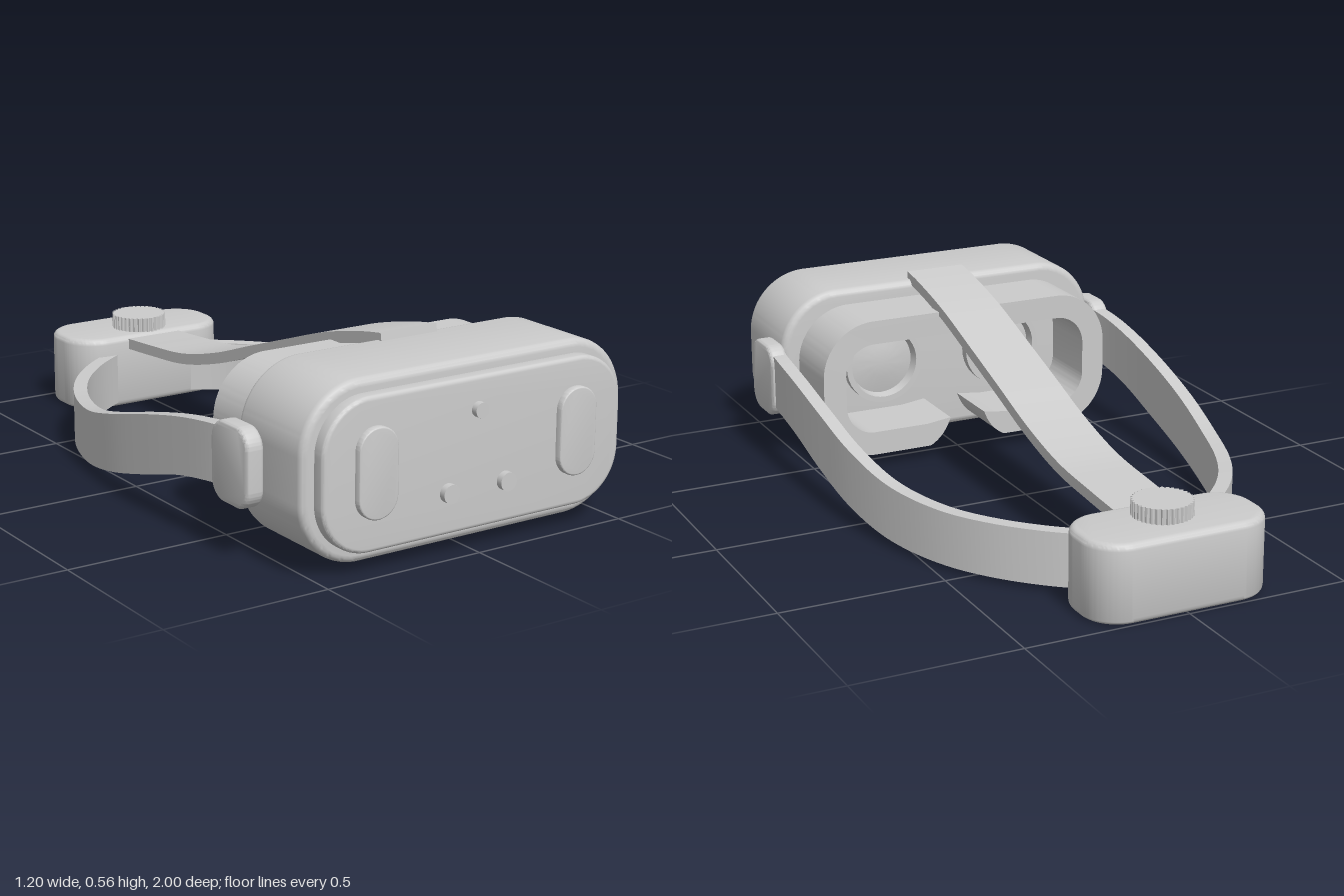
import * as THREE from 'three';
import { toCreasedNormals, mergeVertices } from 'three/addons/utils/BufferGeometryUtils.js';

const material = new THREE.MeshStandardMaterial({ color: 0xcccccc, side: THREE.DoubleSide });

function add(parent, name, geometry) {
  const mesh = new THREE.Mesh(geometry, material);
  mesh.name = name;
  parent.add(mesh);
  return mesh;
}

// Rounded rectangle centred on (cx, cy)
function roundedRect(w, h, r, cx = 0, cy = 0) {
  const s = new THREE.Shape();
  const x = w / 2 - r, y = h / 2 - r;
  s.absarc(cx + x, cy + y, r, 0, Math.PI / 2);
  s.absarc(cx - x, cy + y, r, Math.PI / 2, Math.PI);
  s.absarc(cx - x, cy - y, r, Math.PI, Math.PI * 1.5);
  s.absarc(cx + x, cy - y, r, Math.PI * 1.5, Math.PI * 2);
  s.closePath();
  return s;
}

// Extrusion from z0 to z1 whose bevel stays inside the outline
function slab(shape, z0, z1, bevel = 0) {
  const g = new THREE.ExtrudeGeometry(shape, {
    depth: z1 - z0 - 2 * bevel, curveSegments: 16, bevelEnabled: bevel > 0,
    bevelThickness: bevel, bevelSize: bevel, bevelOffset: -bevel, bevelSegments: 4,
  });
  g.translate(0, 0, z0 + bevel);
  return toCreasedNormals(g, 0.6);
}

// Closed loft through four-cornered cross-sections
function loft(sections) {
  const pos = sections.flat(2), index = [], n = sections.length;
  for (let i = 0; i < n - 1; i++) {
    for (let j = 0; j < 4; j++) {
      const a = i * 4 + j, b = i * 4 + (j + 1) % 4;
      index.push(a, b, a + 4, b, b + 4, a + 4);
    }
  }
  const e = (n - 1) * 4;
  index.push(0, 2, 1, 0, 3, 2, e, e + 1, e + 2, e, e + 2, e + 3);
  const g = new THREE.BufferGeometry();
  g.setAttribute('position', new THREE.Float32BufferAttribute(pos, 3));
  g.setIndex(index);
  return toCreasedNormals(mergeVertices(g), 0.6);
}

// Side strap: rows of [x, z, bottom, top], swept upright and curving to the back
function sideStrap(side) {
  const rows = [
    [0.56, 0.68, 0.2, 0.365], [0.572, 0.55, 0.19, 0.357], [0.575, 0.4, 0.165, 0.335],
    [0.572, 0.2, 0.11, 0.29], [0.56, 0, 0.06, 0.237], [0.525, -0.2, 0.025, 0.192],
    [0.46, -0.4, 0.015, 0.177], [0.375, -0.55, 0.015, 0.177], [0.255, -0.68, 0.015, 0.177],
    [0.12, -0.78, 0.015, 0.177],
  ];
  const path = new THREE.CatmullRomCurve3(rows.map(r => new THREE.Vector3(r[0], r[2], r[1])));
  const tops = new THREE.CatmullRomCurve3(rows.map(r => new THREE.Vector3(r[0], r[3], r[1])));
  const sections = [], half = 0.021;
  for (let i = 0; i <= 60; i++) {
    const p = path.getPoint(i / 60), q = tops.getPoint(i / 60), t = path.getTangent(i / 60);
    const len = Math.hypot(t.x, t.z), nx = -t.z / len * half, nz = t.x / len * half;
    const ring = [
      [side * (p.x + nx), p.y, p.z + nz], [side * (p.x + nx), q.y, p.z + nz],
      [side * (p.x - nx), q.y, p.z - nz], [side * (p.x - nx), p.y, p.z - nz],
    ];
    sections.push(side > 0 ? ring.reverse() : ring);
  }
  return loft(sections.map(s => s.slice().reverse()));
}

// Top strap: centre line as [z, y]
function topStrap() {
  const line = [[0.665, 0.541], [0.58, 0.527], [0.4, 0.485], [0.2, 0.42], [0, 0.353],
    [-0.2, 0.285], [-0.4, 0.237], [-0.6, 0.218], [-0.79, 0.205]];
  const path = new THREE.CatmullRomCurve3(line.map(([z, y]) => new THREE.Vector3(0, y, z)));
  const sections = [], w = 0.096, half = 0.017;
  for (let i = 0; i <= 60; i++) {
    const p = path.getPoint(i / 60), t = path.getTangent(i / 60);
    const ny = -t.z * half, nz = t.y * half;
    sections.push([
      [-w, p.y - ny, p.z - nz], [w, p.y - ny, p.z - nz],
      [w, p.y + ny, p.z + nz], [-w, p.y + ny, p.z + nz],
    ]);
  }
  return loft(sections.map(s => s.slice().reverse()));
}

// Open ring around the eyes with a gap for the nose
function faceCushionShape() {
  const s = new THREE.Shape(), P = Math.PI, cy = 0.265;
  const X = 0.49, Y = 0.22, R = 0.17, t = 0.075, r = R - t;
  const cx = X - R, dy = Y - R;
  s.moveTo(0.13, cy - Y);
  s.absarc(cx, cy - dy, R, -P / 2, 0);
  s.absarc(cx, cy + dy, R, 0, P / 2);
  s.absarc(-cx, cy + dy, R, P / 2, P);
  s.absarc(-cx, cy - dy, R, P, P * 1.5);
  s.lineTo(-0.13, cy - Y);
  s.quadraticCurveTo(-0.08, cy - Y + 0.025, -0.06, cy - Y + t + 0.01);
  s.lineTo(-0.14, cy - Y + t);
  s.absarc(-cx, cy - dy, r, P * 1.5, P, true);
  s.absarc(-cx, cy + dy, r, P, P / 2, true);
  s.absarc(cx, cy + dy, r, P / 2, 0, true);
  s.absarc(cx, cy - dy, r, 0, -P / 2, true);
  s.lineTo(0.14, cy - Y + t);
  s.lineTo(0.06, cy - Y + t + 0.01);
  s.quadraticCurveTo(0.08, cy - Y + 0.025, 0.13, cy - Y);
  return s;
}

// Knurled dial outline
function dialShape(radius, ridges) {
  const pts = [];
  for (let i = 0; i < ridges * 4; i++) {
    const a = i / (ridges * 4) * Math.PI * 2, r = i % 4 < 2 ? radius : radius - 0.005;
    pts.push(new THREE.Vector2(Math.cos(a) * r, Math.sin(a) * r));
  }
  return new THREE.Shape(pts);
}

export function createModel() {
  const model = new THREE.Group();
  model.name = 'headset';

  // Visor housing and front plate
  add(model, 'visorBody', slab(roundedRect(1.09, 0.51, 0.19, 0, 0.28), 0.63, 0.94, 0.022));
  add(model, 'frontPlate', slab(roundedRect(1.01, 0.432, 0.15, 0, 0.28), 0.92, 0.98, 0.012));
  add(model, 'faceCushion', slab(faceCushionShape(), 0.42, 0.65));

  // Sensors on the front
  for (const [x, y, r] of [[0, 0.404, 0.022], [-0.097, 0.185, 0.027], [0.097, 0.185, 0.027]]) {
    const dot = add(model, 'sensorDot', new THREE.CylinderGeometry(r, r, 0.04, 32));
    dot.rotation.x = Math.PI / 2;
    dot.position.set(x, y, 0.98);
  }

  for (const side of [1, -1]) {
    add(model, 'cameraWindow', slab(roundedRect(0.128, 0.256, 0.063, side * 0.339, 0.287), 0.96, 1, 0.005));

    // Eyepiece with a shallow domed lens
    const rim = new THREE.LatheGeometry([
      [0, 0.015], [0.05, 0.012], [0.105, 0], [0.112, 0.03], [0.13, 0.03], [0.13, -0.03],
    ].map(([x, y]) => new THREE.Vector2(x, y)).reverse(), 40);
    const lens = add(model, 'lens', toCreasedNormals(rim, 0.6));
    lens.rotation.x = -Math.PI / 2;
    lens.position.set(side * 0.21, 0.28, 0.63);

    // Hinge pod joining the strap to the visor
    const pod = add(model, 'strapHinge', slab(roundedRect(0.185, 0.23, 0.06), -0.028, 0.028, 0.012));
    pod.rotation.y = Math.PI / 2;
    pod.position.set(side * 0.572, 0.27, 0.673);

    add(model, 'sideStrap', sideStrap(side));
  }

  add(model, 'topStrap', topStrap());

  // Rear adjuster housing and dial
  const rear = add(model, 'rearHousing', slab(roundedRect(0.56, 0.26, 0.11), 0, 0.235, 0.02));
  rear.rotation.x = -Math.PI / 2;
  rear.position.z = -0.87;
  const dial = add(model, 'adjusterDial', slab(dialShape(0.088, 36), 0.22, 0.28));
  dial.rotation.x = -Math.PI / 2;
  dial.position.z = -0.84;

  return model;
}
